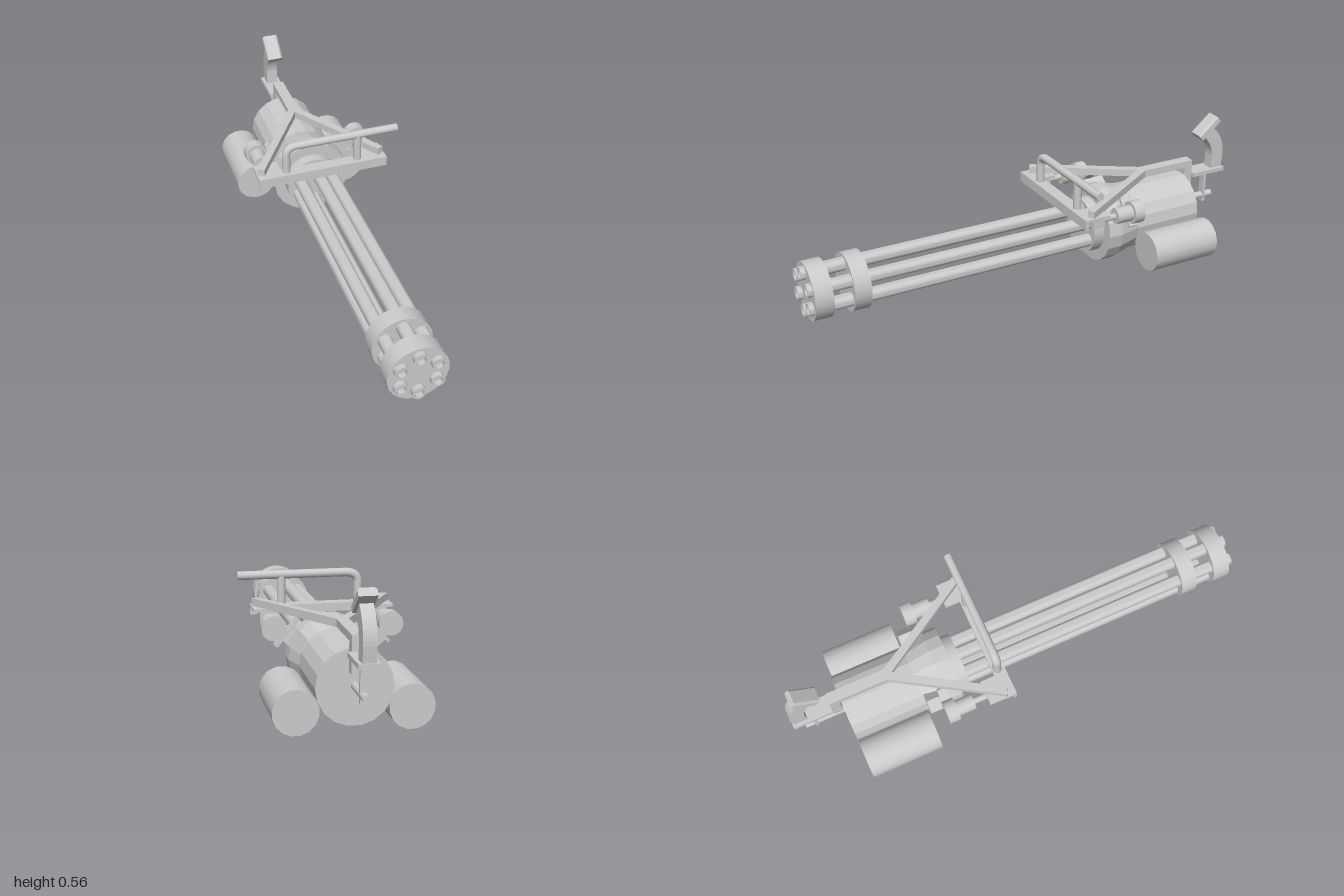
import * as THREE from 'three';
import { toCreasedNormals } from 'three/addons/utils/BufferGeometryUtils.js';

const AXIS_Y = 0.172;

export function createModel() {
  const mat = new THREE.MeshStandardMaterial({ color: 0xcccccc });
  const flat = new THREE.MeshStandardMaterial({ color: 0xcccccc, flatShading: true });
  const model = new THREE.Group();
  model.name = 'rotaryGun';
  // Everything hangs on the barrel axis, slightly right of centre
  const gun = new THREE.Group();
  gun.name = 'gun';
  gun.position.x = -0.02;
  model.add(gun);

  const add = (name, geo, material = mat, parent = gun) => {
    const mesh = new THREE.Mesh(geo, material);
    mesh.name = name;
    parent.add(mesh);
    return mesh;
  };
  // Box given by its limits on each axis
  const box = (name, x0, x1, y0, y1, z0, z1, parent = gun) =>
    add(name, new THREE.BoxGeometry(x1 - x0, y1 - y0, z1 - z0)
      .translate((x0 + x1) / 2, (y0 + y1) / 2, (z0 + z1) / 2), mat, parent);
  // Cylinder along z from z0 (radius r0) to z1 (radius r1)
  const rod = (name, x, y, z0, z1, r0, r1 = r0, sides = 24, material = mat) =>
    add(name, new THREE.CylinderGeometry(r1, r0, z1 - z0, sides)
      .rotateY(Math.PI / sides).rotateX(Math.PI / 2).translate(x, y, (z0 + z1) / 2), material);
  const shapeOf = (pts) => new THREE.Shape(pts.map((p) => new THREE.Vector2(...p)));
  // Plan outline (x, z) extruded down from a top height
  const planPlate = (name, pts, top, height) =>
    add(name, new THREE.ExtrudeGeometry(shapeOf(pts), { depth: height, bevelEnabled: false })
      .rotateX(Math.PI / 2).translate(0, top, 0));
  // Side outline (z, y) extruded symmetrically across x
  const sidePlate = (name, shape, width) =>
    add(name, new THREE.ExtrudeGeometry(shape, { depth: width, bevelEnabled: false, curveSegments: 8 })
      .translate(0, 0, -width / 2).rotateY(-Math.PI / 2));

  // Six hollow barrels
  const profile = [[0.028, -0.3], [0.028, 1], [0.02, 1], [0.02, 0.93], [0, 0.93]]
    .map((p) => new THREE.Vector2(...p));
  const barrelGeo = toCreasedNormals(new THREE.LatheGeometry(profile, 18).rotateX(Math.PI / 2), 0.7);
  for (let i = 0; i < 6; i++) {
    const a = Math.PI / 2 + (i * Math.PI) / 3;
    add('barrel', barrelGeo).position.set(0.083 * Math.cos(a), AXIS_Y + 0.083 * Math.sin(a), 0);
  }

  // Barrel clamps and hub
  rod('muzzleClamp', 0, AXIS_Y, 0.905, 0.98, 0.122);
  rod('middleClamp', 0, AXIS_Y, 0.75, 0.82, 0.122);
  rod('barrelHub', 0, AXIS_Y, -0.32, -0.263, 0.122);

  // Faceted housing: front collar, taper, rear body
  rod('housingCollar', 0, AXIS_Y, -0.375, -0.31, 0.171, 0.171, 18, flat);
  rod('housingTaper', 0, AXIS_Y, -0.47, -0.375, 0.146, 0.171, 18, flat);
  rod('housingBody', 0, AXIS_Y, -0.785, -0.47, 0.146, 0.146, 18, flat);

  // Y-shaped carrying frame: spine, rear drop and tail plate
  box('frameSpine', -0.024, 0.024, 0.345, 0.375, -0.83, -0.565);
  box('rearDrop', -0.024, 0.024, 0.23, 0.375, -0.83, -0.79);
  box('tailPlate', -0.04, 0.04, 0.297, 0.315, -1, -0.83);

  // Front cross bar with a top flange
  box('crossBar', -0.286, 0.286, 0.302, 0.345, -0.133, -0.118);
  box('crossBarFlange', -0.286, 0.286, 0.333, 0.345, -0.172, -0.118);

  for (const s of [-1, 1]) {
    // Diagonal arm of the frame, outline reversed on one side to keep its winding
    const arm = [[0, -0.585], [0.022, -0.58], [0.282, -0.16], [0.255, -0.145], [0, -0.55]]
      .map(([x, z]) => [s * x, z]);
    planPlate('frameArm', s > 0 ? arm : arm.reverse(), 0.375, 0.032);

    // Corner plate and mounting block of the cross bar
    box('cornerPlate', s * 0.232 - 0.053, s * 0.232 + 0.053, 0.333, 0.345, -0.235, -0.118);
    box('motorMount', s * 0.232 - 0.027, s * 0.232 + 0.027, 0.282, 0.335, -0.225, -0.17);

    // Stepped side motor
    rod('motorShaft', s * 0.232, 0.306, -0.3, -0.22, 0.014, 0.014, 12);
    rod('motorBody', s * 0.232, 0.306, -0.365, -0.29, 0.034, 0.034, 18);
    rod('motorCap', s * 0.232, 0.306, -0.412, -0.365, 0.049, 0.049, 18);

    // Slanted bracket on the housing
    const bracket = new THREE.Group();
    bracket.name = 'sideBracket';
    bracket.position.y = AXIS_Y;
    bracket.rotation.z = s > 0 ? 0.7 : Math.PI - 0.7;
    gun.add(bracket);
    const t = (a, b) => (s > 0 ? [a, b] : [-b, -a]);
    box('bracketBlock', 0.12, 0.206, ...t(-0.06, 0.004), -0.465, -0.37, bracket);
    box('bracketPlate', 0.204, 0.218, ...t(-0.097, 0.04), -0.41, -0.37, bracket);

    // Ammunition drum
    rod('drum', s * 0.215, 0.087, -0.785, -0.47, 0.087, 0.087, 16);
  }

  // Carrying handle: bent tube plus a second post
  const HZ = -0.15;
  const path = new THREE.CurvePath();
  const v = (x, y) => new THREE.Vector3(x, y, HZ);
  path.add(new THREE.LineCurve3(v(-0.158, 0.335), v(-0.158, 0.425)));
  path.add(new THREE.QuadraticBezierCurve3(v(-0.158, 0.425), v(-0.158, 0.467), v(-0.105, 0.467)));
  path.add(new THREE.LineCurve3(v(-0.105, 0.467), v(0.339, 0.467)));
  add('handleTube', new THREE.TubeGeometry(path, 48, 0.0175, 14, false));
  add('handleEnd', new THREE.CircleGeometry(0.0175, 14).rotateY(Math.PI / 2).translate(0.339, 0.467, HZ));
  add('handlePost', new THREE.CylinderGeometry(0.0175, 0.0175, 0.13, 14).translate(0.16, 0.4, HZ));

  // Curved rear grip
  const grip = new THREE.Shape();
  grip.moveTo(-0.992, 0.312);
  grip.lineTo(-0.935, 0.312);
  grip.lineTo(-0.938, 0.38);
  grip.quadraticCurveTo(-0.935, 0.43, -0.895, 0.468);
  grip.lineTo(-0.938, 0.51);
  grip.quadraticCurveTo(-1, 0.455, -0.998, 0.375);
  sidePlate('rearGrip', grip, 0.05);

  // Chamfered thumb rest on top of the grip
  const c = 0.009, w = 0.035, h = 0.0165;
  const rest = shapeOf([[-w, -h], [w, -h], [w, h - c], [w - c, h], [c - w, h], [-w, h - c]]);
  const head = add('thumbRest', new THREE.ExtrudeGeometry(rest, { depth: 0.12, bevelEnabled: false })
    .translate(0, 0, -0.06));
  head.position.set(0, 0.515, -0.91);
  head.rotation.x = 0.7;

  // Rod hanging beneath the tail plate
  box('tailHanger', -0.015, 0.015, 0.15, 0.3, -0.922, -0.908);
  rod('tailRod', 0, 0.178, -0.96, -0.78, 0.016, 0.016, 14);

  return model;
}
